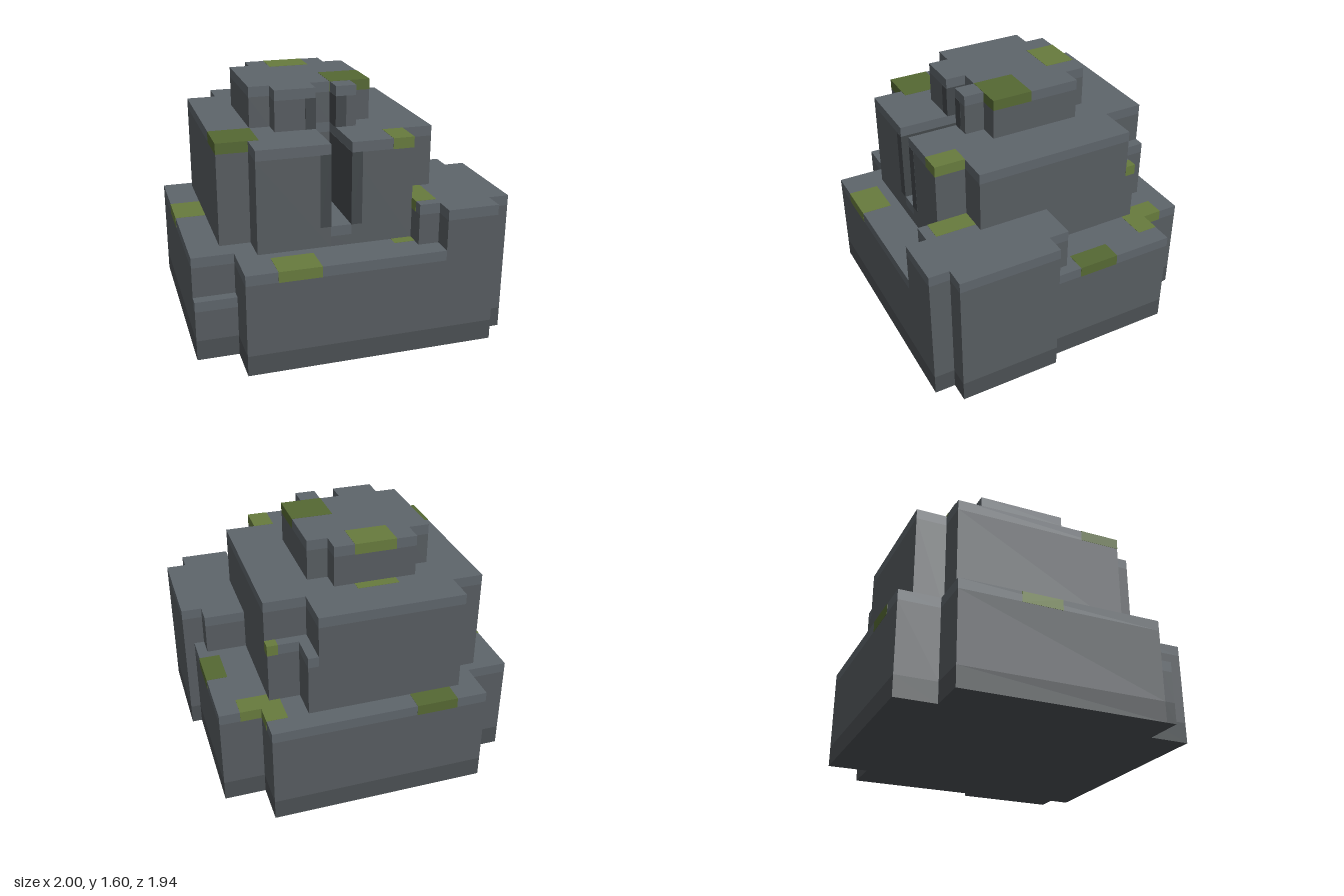
import * as THREE from 'three';

const U = 1 / 15; // one block of the grid

const mat = (color) => new THREE.MeshStandardMaterial({ color, flatShading: true });
const mats = {
  base: mat(0x4b5053),
  body: mat(0x575c60),
  cap: mat(0x5e656b),
  crack: mat(0x42474a),
  mossLight: mat(0x677b3d),
  mossDark: mat(0x556833),
};

// Vertical prism over an [x, z] outline, all in grid blocks
function prism(name, outline, y0, y1, material) {
  const shape = new THREE.Shape(outline.map(([x, z]) => new THREE.Vector2(x * U, -z * U)));
  const geo = new THREE.ExtrudeGeometry(shape, { depth: (y1 - y0) * U, bevelEnabled: false });
  geo.rotateX(-Math.PI / 2);
  const mesh = new THREE.Mesh(geo, material);
  mesh.name = name;
  mesh.position.y = y0 * U;
  return mesh;
}

// Rock block: dark foot where it meets the ground, plain body, paler top course
function rock(name, outline, y0, y1) {
  const group = new THREE.Group();
  group.name = name;
  let y = y0;
  if (y0 === 0) {
    group.add(prism(name + 'Foot', outline, 0, 2, mats.base));
    y = 2;
  }
  group.add(prism(name + 'Body', outline, y, y1 - 1, mats.body));
  group.add(prism(name + 'Cap', outline, y1 - 1, y1, mats.cap));
  return group;
}

const rect = (x0, x1, z0, z1) => [[x0, z0], [x1, z0], [x1, z1], [x0, z1]];

// Coloured skin: a box standing a hair proud of the rock
function skin(name, x0, x1, y0, y1, z0, z1, material) {
  const e = 0.003;
  const mesh = new THREE.Mesh(
    new THREE.BoxGeometry((x1 - x0) * U + e, (y1 - y0) * U + e, (z1 - z0) * U + e), material);
  mesh.position.set((x0 + x1) / 2 * U, (y0 + y1) / 2 * U, (z0 + z1) / 2 * U);
  mesh.name = name;
  return mesh;
}

export function createModel() {
  const model = new THREE.Group();
  model.name = 'mossyRock';

  // Wide lower tier, leaving room for the corner boulder
  model.add(rock('lowerTier', [
    [-15, -10.5], [-11, -10.5], [-11, -14.5], [10, -14.5], [10, -10.5], [14, -10.5],
    [14, 2.5], [13, 2.5], [13, 0.5], [6, 0.5], [6, 12.5], [8, 12.5], [8, 14.5],
    [-11, 14.5], [-11, 9.5], [-15, 9.5],
  ], 0, 10));
  model.add(rock('lowStep', rect(-15, -11, 9.5, 10.5), 0, 6));

  // Corner boulder
  model.add(rock('cornerBoulder', [
    [6, 0.5], [13, 0.5], [13, 2.5], [15, 2.5], [15, 12.5], [13, 12.5],
    [13, 14.5], [8, 14.5], [8, 12.5], [6, 12.5],
  ], 0, 14));

  // Middle tier, split by the crack at the front
  model.add(rock('middleTier', [
    [-12, -9.5], [-9, -9.5], [-9, -12.5], [5, -12.5], [5, -8.5], [9, -8.5],
    [9, 7.5], [6, 7.5], [6, 10.5], [0, 10.5], [0, 3.5], [-2, 3.5], [-2, 10.5],
    [-9, 10.5], [-9, 7.5], [-12, 7.5],
  ], 10, 20));
  model.add(rock('crackFloor', rect(-2, 0, 3.5, 10.5), 10, 12));
  model.add(rock('backLedge', [
    [5, -12.5], [6, -12.5], [6, -9.5], [9, -9.5], [9, -8.5], [5, -8.5],
  ], 10, 16));

  // Top tier
  model.add(rock('topTier', [
    [-8, -5.5], [-6, -5.5], [-6, -7.5], [2, -7.5], [2, -5.5], [4, -5.5],
    [4, 3.5], [2, 3.5], [2, 5.5], [0, 5.5], [0, 3.5], [-2, 3.5], [-2, 5.5],
    [-6, 5.5], [-6, 3.5], [-8, 3.5],
  ], 20, 24));

  // Dark crack walls on both sides of the slot
  for (const x of [-3, 0]) {
    const w = x === 0 ? [0, 1] : [-3, -2];
    const wall = w[0] === 0 ? [0, 2] : [-3, -2];
    model.add(skin('crackWall', w[0], w[1], 12, 19, 3.5, 10.5, mats.crack));
    model.add(skin('crackWallTop', w[0], Math.min(wall[1], w[1]), 20, 23, 3.5, 5.5, mats.crack));
  }

  // Moss patches: x0, x1, z0, z1, top height
  const moss = {
    mossLight: [
      [8, 10, -12.5, -8.5, 10], [10, 12, -10.5, -8.5, 10], [8, 9, -9.5, -8.5, 16],
      [-4, 0, -7.5, -4.5, 24], [-4, 0, -8.5, -7.5, 20],
      [-15, -12, -4.5, -0.5, 10],
      [4, 6, 7.5, 10.5, 20], [6, 8, 7.5, 11.5, 14], [4, 6, 10.5, 11.5, 10],
      [-8, -4, 11.5, 14.5, 10],
    ],
    mossDark: [
      [-8, -4, -14.5, -12.5, 10],
      [12, 14, -4.5, -0.5, 10],
      [0, 4, -0.5, 3.5, 24],
      [-12, -8, 3.5, 7.5, 20],
    ],
  };
  for (const [kind, patches] of Object.entries(moss))
    for (const [x0, x1, z0, z1, y] of patches)
      model.add(skin('mossPatch', x0, x1, y - 1, y, z0, z1, mats[kind]));

  return model;
}
